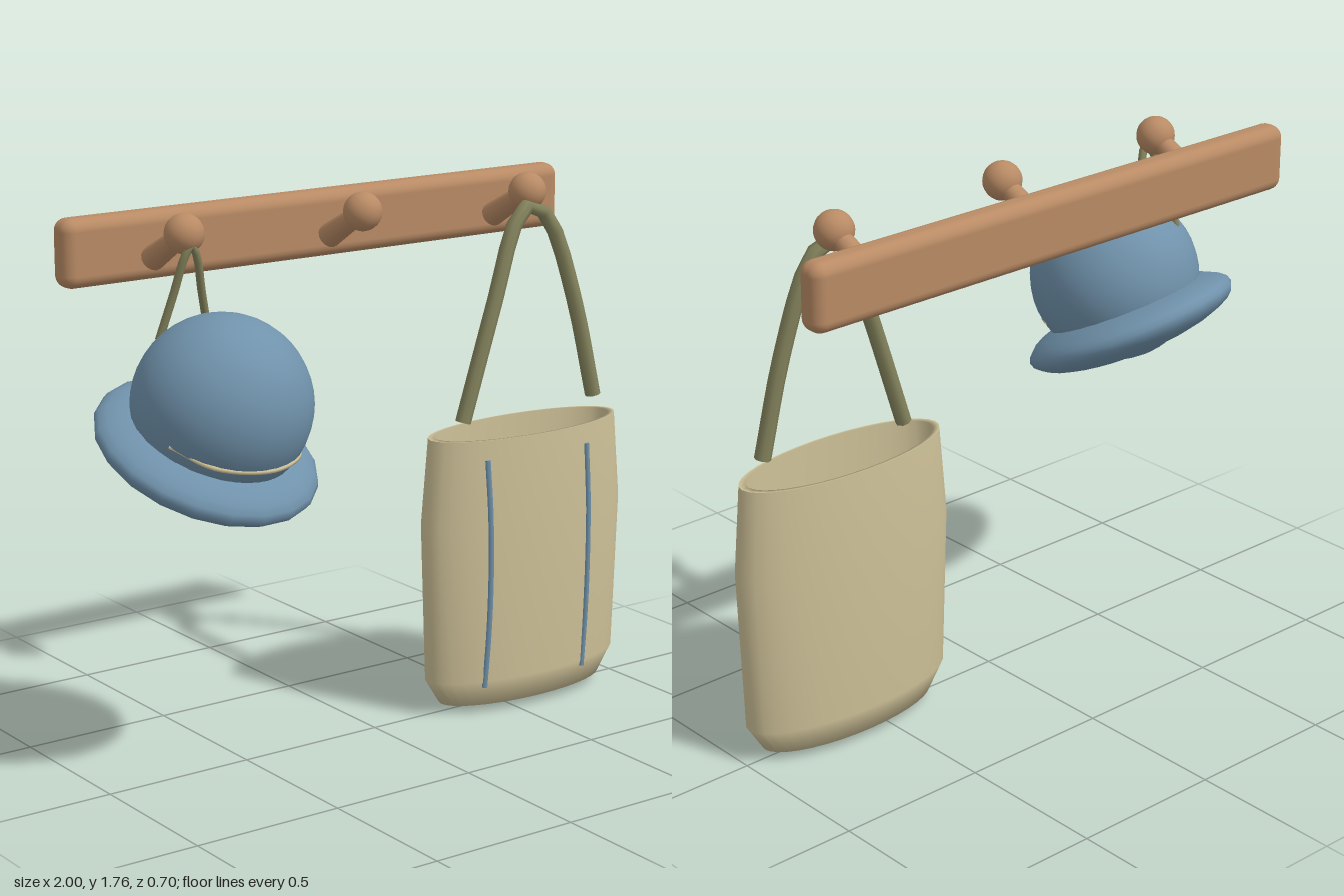
import * as THREE from 'three';
import { mergeGeometries } from 'three/addons/utils/BufferGeometryUtils.js';
import { RoundedBoxGeometry } from 'three/addons/geometries/RoundedBoxGeometry.js';

const material = (name, color) => {
  const m = new THREE.MeshStandardMaterial({ color });
  m.name = name;
  return m;
};

const V = (p) => new THREE.Vector3(...p);

// Round cord through a few points, closed with a flat disc at each end
function cordGeometry(points, radius, segments = 12, sides = 8) {
  const curve = new THREE.CatmullRomCurve3(points.map(V));
  const parts = [new THREE.TubeGeometry(curve, segments, radius, sides)];
  for (const [t, sign] of [[0, -1], [1, 1]]) {
    const cap = new THREE.CircleGeometry(radius, sides);
    const out = curve.getTangentAt(t).multiplyScalar(sign);
    cap.applyQuaternion(new THREE.Quaternion().setFromUnitVectors(new THREE.Vector3(0, 0, 1), out));
    const p = curve.getPointAt(t);
    cap.translate(p.x, p.y, p.z);
    parts.push(cap);
  }
  return mergeGeometries(parts);
}

export function createModel() {
  const wood = material('wood', 0xb98b65);
  const blue = material('blue felt', 0x7092ab);
  const cream = material('cream canvas', 0xcec198);
  const olive = material('olive strap', 0x84835d);

  const root = new THREE.Group();
  root.name = 'pegRack';
  const add = (parent, name, geometry, mat) => {
    const mesh = new THREE.Mesh(geometry, mat);
    mesh.name = name;
    parent.add(mesh);
    return mesh;
  };
  const group = (name) => {
    const g = new THREE.Group();
    g.name = name;
    root.add(g);
    return g;
  };

  // Wall board
  add(root, 'board', new RoundedBoxGeometry(1.91, 0.215, 0.097, 4, 0.04), wood)
    .position.set(-0.003, 1.632, -0.302);

  // Three slanted pegs with ball ends
  for (const x of [-0.66, -0.003, 0.655]) {
    const peg = group('peg');
    const tip = V([x, 1.7, -0.06]);
    const base = V([x, 1.597, -0.243]);
    const dir = tip.clone().sub(base);
    const shaft = add(peg, 'pegShaft', new THREE.CylinderGeometry(0.03, 0.04, dir.length(), 16), wood);
    shaft.position.copy(tip).add(base).multiplyScalar(0.5);
    shaft.quaternion.setFromUnitVectors(new THREE.Vector3(0, 1, 0), dir.normalize());
    add(peg, 'pegBall', new THREE.SphereGeometry(0.062, 20, 14), wood).position.copy(tip);
  }

  // Hat: round crown sunk into a tilted, cushion-like brim
  const hat = group('hat');
  const crown = V([-0.619, 1.195, 0.073]);
  const R = 0.279;
  add(hat, 'crown', new THREE.SphereGeometry(R, 32, 22), blue).position.copy(crown);
  const brim = add(hat, 'brim', new THREE.SphereGeometry(1, 20, 16), blue);
  brim.scale.set(0.363, 0.098, 0.354);
  brim.rotation.set(THREE.MathUtils.degToRad(26), 0, THREE.MathUtils.degToRad(-7));
  brim.position.set(-0.638, 1.042, 0.012);

  // Hat band: thin cord on the crown front whose ends sink into the felt
  const band = [[-0.87, 1.12, 0.985], [-0.77, 1.06, 1], [-0.6, 1.032, 1], [-0.47, 1.04, 1], [-0.39, 1.06, 0.985]];
  const bandPoints = band.map(([x, y, sink]) => {
    const dx = x - crown.x, dy = y - crown.y;
    const dz = Math.sqrt(Math.max(0, R * R - dx * dx - dy * dy));
    return [crown.x + dx * sink, crown.y + dy * sink, crown.z + dz * sink];
  });
  add(hat, 'hatBand', cordGeometry(bandPoints, 0.008, 24, 6), cream);

  // Hanging loop of the hat
  add(hat, 'hatLoop', cordGeometry([
    [-0.74, 1.38, -0.085], [-0.705, 1.52, -0.055], [-0.68, 1.64, -0.025], [-0.66, 1.67, -0.02],
    [-0.64, 1.64, -0.025], [-0.605, 1.52, -0.055], [-0.565, 1.38, -0.085],
  ], 0.013, 20), olive);

  // Bag: open oval pouch, outer wall, rim and inner wall in one profile
  const bag = group('bag');
  const cx = 0.597, cz = 0.005, depth = 0.36;
  const outer = [[0, 0.005], [0.329, 0.032], [0.385, 0.12], [0.404, 0.65], [0.378, 0.94]];
  const inner = [[0.378, 0.94], [0.353, 0.94], [0.376, 0.65], [0.357, 0.14], [0.3, 0.07], [0, 0.05]];
  for (const [name, profile] of [['bagOuter', outer], ['bagInner', inner]]) {
    const g = new THREE.LatheGeometry(profile.map((p) => new THREE.Vector2(...p)), 36);
    g.scale(1, 1, depth);
    add(bag, name, g, cream).position.set(cx, 0, cz);
  }

  // Two vertical seams following the bag's front
  const halfWidth = (y) => {
    const i = outer.findIndex((p) => p[1] >= y);
    const [a, b] = [outer[i - 1], outer[i]];
    return a[0] + (b[0] - a[0]) * (y - a[1]) / (b[1] - a[1]);
  };
  for (const x of [0.366, 0.768]) {
    const points = [0.1, 0.3, 0.5, 0.7, 0.875].map((y, i) => {
      const px = x + [0, 0.008, 0.011, 0.007, 0][i];
      return [px, y, cz + depth * Math.sqrt(halfWidth(y) ** 2 - (px - cx) ** 2)];
    });
    add(bag, 'bagSeam', cordGeometry(points, 0.01, 14, 6), blue);
  }

  // Bag handle draped over the right-hand peg
  add(bag, 'bagHandle', cordGeometry([
    [0.35, 0.98, 0.003], [0.472, 1.36, 0.005], [0.58, 1.625, -0.015], [0.65, 1.663, -0.025],
    [0.72, 1.6, -0.018], [0.81, 1.33, 0.005], [0.88, 1.005, 0.025],
  ], 0.026, 18), olive);

  return root;
}
